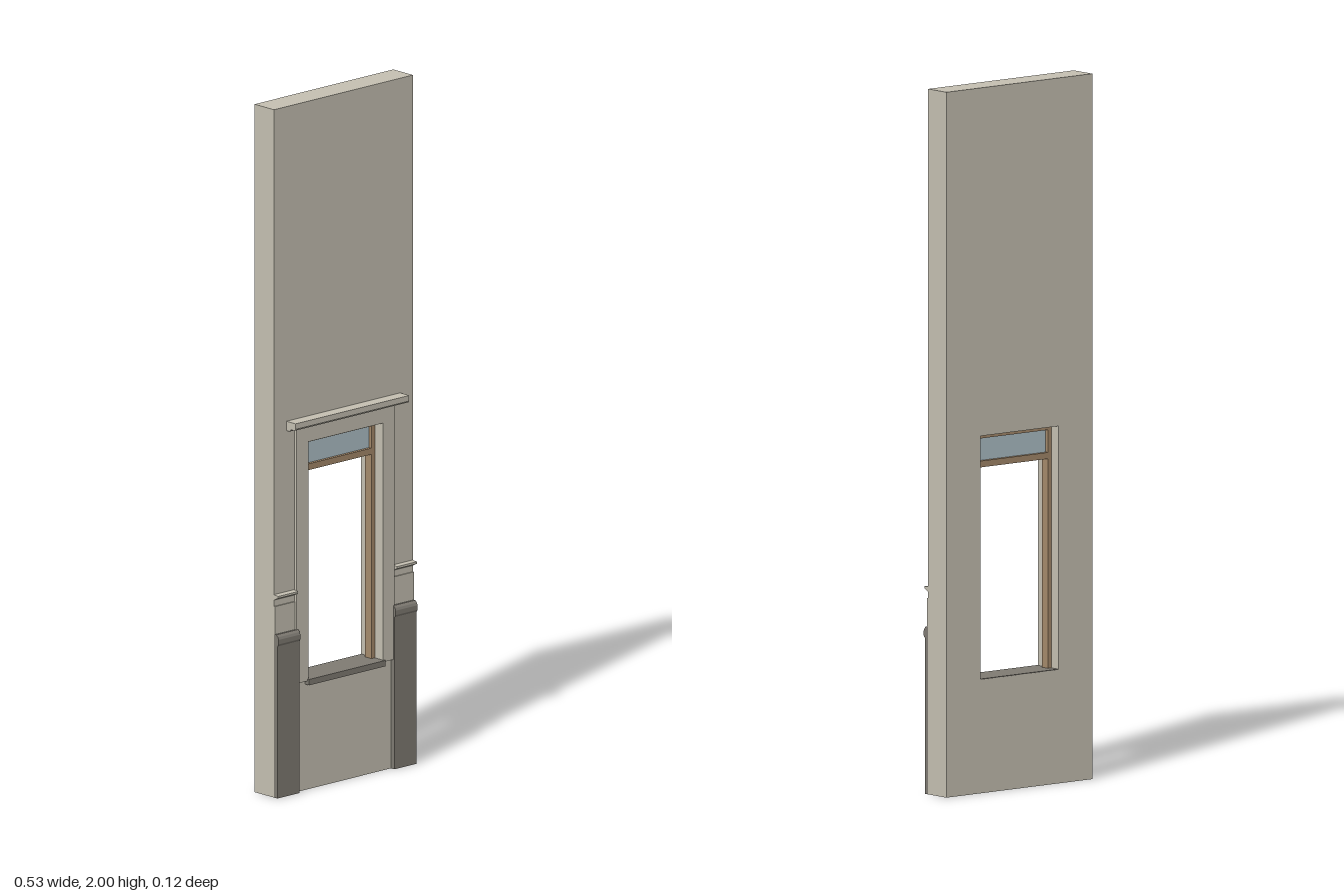
import * as THREE from 'three';

const mat = (name, color) => {
  const m = new THREE.MeshStandardMaterial({ color });
  m.name = name;
  return m;
};

export function createModel() {
  const plaster = mat('plaster', 0xc5c0b2);
  const stone = mat('dark stone', 0x7f7b73);
  const wood = mat('wood', 0xa58a6b);
  const glass = mat('glass', 0xafc1c9);
  const model = new THREE.Group();
  model.name = 'wallWithWindow';

  const add = (name, geometry, material, parent = model) => {
    const mesh = new THREE.Mesh(geometry, material);
    mesh.name = name;
    parent.add(mesh);
    return mesh;
  };
  // Box given by its two extreme corners
  const box = (name, material, [x0, y0, z0], [x1, y1, z1], parent) =>
    add(name, new THREE.BoxGeometry(x1 - x0, y1 - y0, z1 - z0), material, parent)
      .position.set((x0 + x1) / 2, (y0 + y1) / 2, (z0 + z1) / 2);
  // Upright slab with a rectangular hole; rectangles are [x0, y0, x1, y1]
  const slab = (name, material, outer, hole, z0, z1, parent) => {
    const corners = ([a, b, c, d]) =>
      [[a, b], [c, b], [c, d], [a, d]].map(p => new THREE.Vector2(...p));
    const shape = new THREE.Shape(corners(outer));
    shape.holes.push(new THREE.Path(corners(hole)));
    const g = new THREE.ExtrudeGeometry(shape, { depth: z1 - z0, bevelEnabled: false });
    add(name, g.translate(0, 0, z0), material, parent);
  };
  // Moulding: a [z, y] profile swept along x
  const moulding = (name, material, profile, x0, x1, parent) => {
    const shape = new THREE.Shape(profile.map(([z, y]) => new THREE.Vector2(-z, y)));
    const g = new THREE.ExtrudeGeometry(shape, { depth: x1 - x0, bevelEnabled: false });
    add(name, g.rotateY(Math.PI / 2).translate(x0, 0, 0), material, parent);
  };

  // Wall and window surround
  const opening = [-0.143, 0.322, 0.143, 1.013];
  slab('wall', plaster, [-0.267, 0, 0.267, 2], opening, -0.06, 0.02);
  slab('casing', plaster, [-0.188, 0.318, 0.188, 1.062], opening, 0.02, 0.029);
  moulding('hood', plaster, [
    [0.02, 1.058], [0.034, 1.058], [0.037, 1.064], [0.053, 1.064],
    [0.057, 1.069], [0.057, 1.085], [0.02, 1.085],
  ], -0.219, 0.218);

  // Sill: projecting nose and thin lining on the bottom of the opening
  box('sillNose', stone, [-0.147, 0.307, 0.018], [0.147, 0.324, 0.036]);
  box('sillLining', stone, [-0.143, 0.319, -0.0595], [0.143, 0.324, 0.02]);

  // Window frame with transom light above an open lower part
  const frame = new THREE.Group();
  frame.name = 'windowFrame';
  model.add(frame);
  slab('outerFrame', wood, [-0.143, 0.323, 0.143, 1.013],
    [-0.13, 0.3235, 0.13, 1.0], -0.03, -0.004, frame);
  box('transomBar', wood, [-0.13, 0.918, -0.03], [0.13, 0.936, -0.004], frame);
  box('transomGlass', glass, [-0.13, 0.936, -0.02], [0.13, 1.0, -0.014], frame);

  // Wainscot on both sides of the window
  for (const [side, x0, x1] of [['right', -0.267, -0.183], ['left', 0.183, 0.267]]) {
    const group = new THREE.Group();
    group.name = side + 'Wainscot';
    model.add(group);
    const inner = 0.19;
    const [a, b] = side === 'right' ? [x0, -inner] : [inner, x1];
    box('dado', stone, [x0, 0, 0.02], [x1, 0.445, 0.034], group);
    moulding('dadoCap', stone, [
      [0.02, 0.443], [0.036, 0.443], [0.039, 0.449], [0.039, 0.462],
      [0.036, 0.469], [0.03, 0.475], [0.02, 0.475],
    ], x0, x1, group);
    box('bandPanel', plaster, [a, 0.475, 0.02], [b, 0.556, 0.024], group);
    moulding('chairRail', plaster, [
      [0.02, 0.574], [0.024, 0.576], [0.036, 0.582], [0.036, 0.588], [0.02, 0.59],
    ], a, b, group);
  }
  return model;
}
